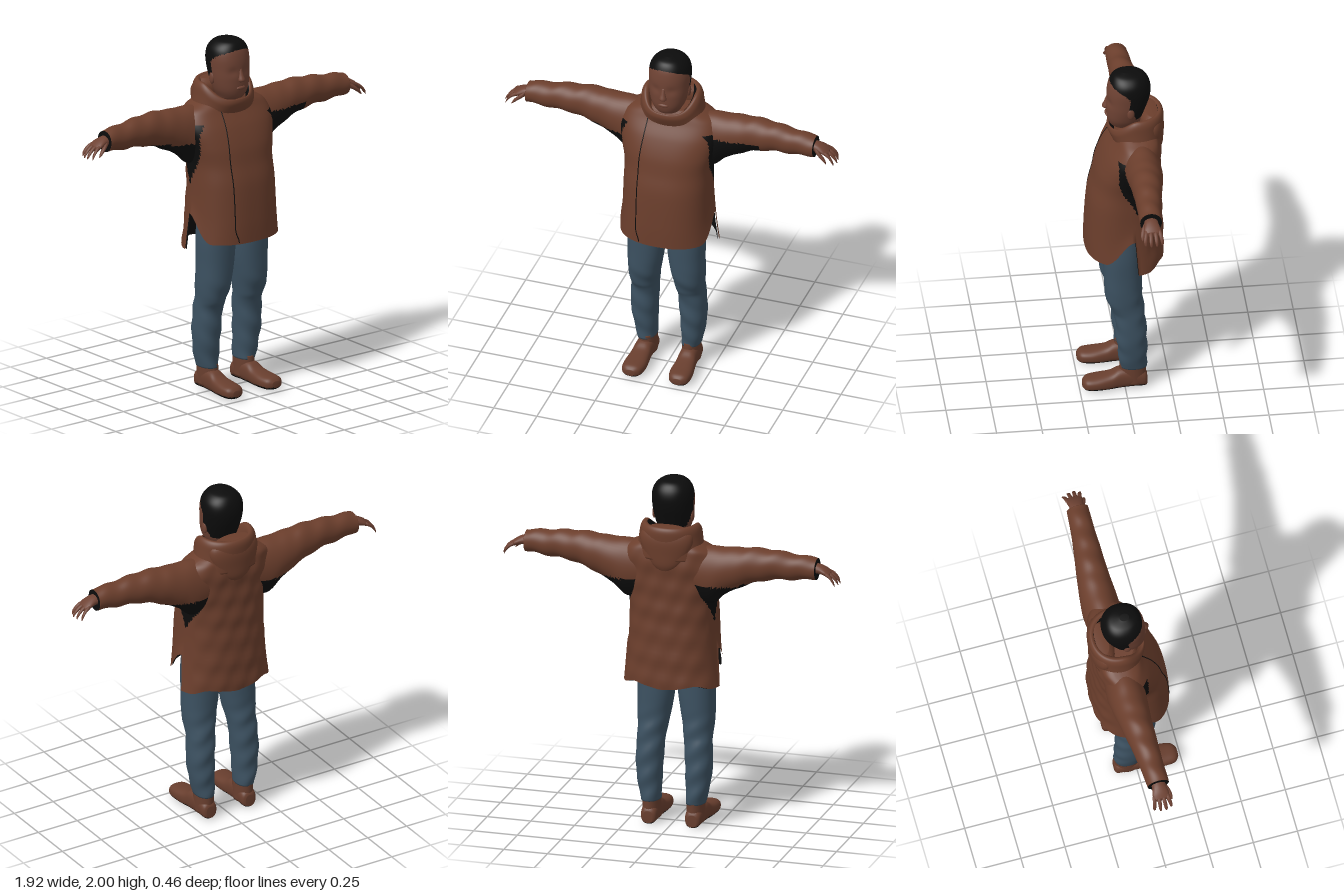
import * as THREE from 'three';

const mat = (name, color, side = THREE.FrontSide) => {
  const m = new THREE.MeshStandardMaterial({ color, side });
  m.name = name;
  return m;
};
const JACKET = mat('jacket brown', 0x6b3e2c);
const SKIN = mat('skin', 0x6e4233);
const DENIM = mat('denim blue', 0x3c5161);
const BLACK = mat('black', 0x0c0c0c, THREE.DoubleSide);
const BOOT = mat('boot brown', 0x683e2e);

const smooth = THREE.MathUtils.smoothstep;
const spow = (v, p) => Math.sign(v) * Math.pow(Math.abs(v), p);

// Catmull-Rom through section rows [t, c1, c2, r1, r2]
function sectionAt(rows, s) {
  const i = Math.min(Math.floor(s), rows.length - 2), f = s - i;
  const at = k => rows[Math.max(0, Math.min(rows.length - 1, k))];
  return rows[i].map((b, k) => {
    const a = at(i - 1)[k], c = at(i + 1)[k], d = at(i + 2)[k];
    return b + 0.5 * f * (c - a + f * (2 * a - 5 * b + 4 * c - d + f * (3 * (b - c) + d - a)));
  });
}

// Smooth skin over rounded cross-sections stacked along an axis.
// warp(v) moves vertices; pick(centre, normal, fraction) chooses a material index.
function loft(name, axis, rows, materials, o = {}) {
  const { seg = 32, sub = 5, pow = 2, warp, pick, open = false } = o;
  const rings = (rows.length - 1) * sub + 1;
  const pts = [], tris = [];
  const place = (t, a, b) => axis === 'y' ? new THREE.Vector3(a, t, b)
    : axis === 'x' ? new THREE.Vector3(t, a, b) : new THREE.Vector3(a, b, t);
  const add = v => { if (warp) warp(v); pts.push(v); };
  for (let r = 0; r < rings; r++) {
    const [t, c1, c2, r1, r2] = sectionAt(rows, r / sub);
    for (let j = 0; j < seg; j++) {
      const a = j / seg * Math.PI * 2;
      add(place(t, c1 + r1 * spow(Math.cos(a), 2 / pow), c2 + r2 * spow(Math.sin(a), 2 / pow)));
    }
  }
  for (let r = 0; r < rings - 1; r++) for (let j = 0; j < seg; j++) {
    const a = r * seg + j, b = r * seg + (j + 1) % seg, f = r / (rings - 1);
    tris.push([a, b, b + seg, f], [a, b + seg, a + seg, f]);
  }
  const first = rows[0], last = rows[rows.length - 1], n = rings * seg;
  add(place(first[0], first[1], first[2]));
  add(place(last[0], last[1], last[2]));
  for (let j = 0; j < seg; j++) {
    const k = (j + 1) % seg, e = (rings - 1) * seg;
    if (!open) tris.push([n, k, j, 0]);
    tris.push([n + 1, e + j, e + k, 1]);
  }
  // Turn every face outward using the enclosed volume
  const o0 = pts[n], d = i => pts[i].clone().sub(o0);
  let vol = 0;
  for (const [a, b, c] of tris) vol += d(a).dot(d(b).cross(d(c)));
  if (vol < 0) for (const t of tris) [t[1], t[2]] = [t[2], t[1]];

  const geo = new THREE.BufferGeometry().setFromPoints(pts);
  const buckets = [].concat(materials).map(() => []);
  for (const [a, b, c, f] of tris) {
    const mid = pts[a].clone().add(pts[b]).add(pts[c]).divideScalar(3);
    const nor = pts[b].clone().sub(pts[a]).cross(pts[c].clone().sub(pts[a])).normalize();
    buckets[pick ? pick(mid, nor, f) : 0].push(a, b, c);
  }
  geo.setIndex(buckets.flat());
  geo.computeVertexNormals();
  if (Array.isArray(materials)) {
    let start = 0;
    buckets.forEach((b, i) => { geo.addGroup(start, b.length, i); start += b.length; });
  }
  const mesh = new THREE.Mesh(geo, materials);
  mesh.name = name;
  return mesh;
}

function ball(name, material, pos, scale) {
  const m = new THREE.Mesh(new THREE.SphereGeometry(1, 20, 14), material);
  m.name = name;
  m.position.set(...pos);
  m.scale.set(...scale);
  return m;
}

const TORSO = [
  [0.86, 0, -0.005, 0.262, 0.216], [1.0, 0, -0.005, 0.25, 0.214], [1.2, 0, -0.008, 0.245, 0.203],
  [1.32, 0, -0.02, 0.245, 0.188], [1.42, 0, -0.03, 0.265, 0.175], [1.52, 0, -0.052, 0.285, 0.155],
  [1.6, 0, -0.075, 0.265, 0.128], [1.64, 0, -0.08, 0.2, 0.115], [1.67, 0, -0.08, 0.12, 0.1]];

// Side-slit hem: higher front panel, longer flared back panel, creased back
function coatWarp(v) {
  const back = v.z < -0.05;
  const hem = back ? 0.825 + 0.03 * smooth(-v.z, 0.12, 0.2) * smooth(Math.abs(v.x), 0, 0.2)
    : 0.885 + 0.15 * smooth(-v.z, -0.12, 0.04);
  if (v.y < 1.15) {
    const k = (1.15 - v.y) / 0.29;
    v.y = 1.15 - k * (1.15 - hem);
    if (back) v.x *= 1 + 0.06 * k;
  }
  if (v.z < -0.12) v.z += 0.005 * Math.sin(v.y * 38 + v.x * 25) * Math.sin(v.x * 30 - v.y * 9);
}

function coat(g) {
  // Black underarm panels tapering down the sides
  const pick = c => {
    const k = smooth(c.y, 1.18, 1.42);
    return Math.abs(c.x) > 0.17 && c.y > 1.2 && c.y < 1.55 &&
      c.z < -0.055 + 0.1 * k && c.z > -0.06 - 0.11 * k ? 1 : 0;
  };
  g.add(loft('coatBody', 'y', TORSO, [JACKET, BLACK], { seg: 96, sub: 8, pow: 2.4, warp: coatWarp, pick, open: true }));
  const inner = TORSO.slice(0, 6).map(r => [r[0], r[1], r[2], r[3] - 0.009, r[4] - 0.009]);
  g.add(loft('coatLining', 'y', inner, BLACK, { seg: 96, sub: 6, pow: 2.4, warp: coatWarp, open: true }));

  // Front closure seam laid on the coat surface
  const seam = [];
  for (let s = 0.12; s <= 7; s += 0.2) {
    const [y, , cz, rx, rz] = sectionAt(TORSO, s);
    const x = -0.122 + 0.02 * smooth(y, 1.35, 1.65) + 0.02 * smooth(-y, -0.95, -0.87);
    const z = cz + rz * Math.pow(1 - Math.pow(Math.abs(x) / rx, 2.4), 1 / 2.4);
    const p = new THREE.Vector3(x, y, z);
    coatWarp(p);
    seam.push(p);
  }
  const line = new THREE.Mesh(new THREE.TubeGeometry(new THREE.CatmullRomCurve3(seam), 80, 0.003, 6), BLACK);
  line.name = 'frontSeam';
  g.add(line);

  // Hood collar: outside, lip, then inside
  const collar = [
    [1.57, 0, -0.085, 0.2, 0.135], [1.62, 0, -0.075, 0.178, 0.15], [1.65, 0, -0.07, 0.168, 0.155],
    [1.672, 0, -0.065, 0.15, 0.145], [1.66, 0, -0.06, 0.128, 0.128], [1.6, 0, -0.06, 0.1, 0.1]];
  g.add(loft('hoodCollar', 'y', collar, [JACKET, BLACK], {
    seg: 56, pow: 2.1,
    warp: v => { v.y += 0.085 * smooth(-v.z, -0.08, 0.07) * smooth(v.y, 1.57, 1.66); },
    pick: (c, n, f) => f > 0.72 && c.x > -0.03 ? 1 : 0 }));
  // Folded hood hanging on the back
  const hood = [
    [1.5, 0, -0.19, 0.03, 0.015], [1.54, 0, -0.185, 0.08, 0.036], [1.6, 0, -0.17, 0.125, 0.055],
    [1.67, 0, -0.16, 0.15, 0.067], [1.72, 0, -0.155, 0.14, 0.06], [1.752, 0, -0.155, 0.09, 0.035]];
  g.add(loft('foldedHood', 'y', hood, JACKET));
}

function arm(g, m) {
  const side = m > 0 ? 'left' : 'right';
  const mir = rows => rows.map(r => [r[0] * m, ...r.slice(1)]);
  const sleeve = [
    [0.14, 1.48, -0.08, 0.15, 0.1], [0.24, 1.475, -0.084, 0.165, 0.106], [0.32, 1.507, -0.085, 0.132, 0.102],
    [0.45, 1.545, -0.083, 0.104, 0.088], [0.58, 1.562, -0.075, 0.084, 0.076], [0.7, 1.56, -0.068, 0.073, 0.066],
    [0.8, 1.56, -0.063, 0.063, 0.062], [0.832, 1.56, -0.062, 0.06, 0.06]];
  // Black panel under the sleeve
  const pick = (c, n, f) => {
    const x = Math.abs(c.x);
    if (f === 1) return 1;
    const limit = c.z < -0.11 ? 1.43 : m > 0 ? 1.525 : 1.45;
    return x < 0.52 && c.y < limit + (x > 0.4 ? (m > 0 ? 0 : 0.02) : 0) && n.y < 0.3 ? 1 : 0;
  };
  g.add(loft(side + 'Sleeve', 'x', mir(sleeve), [JACKET, BLACK], { seg: 48, sub: 9, pick,
    warp: v => { v.y += 0.004 * Math.sin(v.x * 45 + v.z * 20) * smooth(Math.abs(v.x), 0.3, 0.45); } }));

  const palm = [[0.81, 1.562, -0.062, 0.03, 0.036], [0.85, 1.56, -0.062, 0.026, 0.04],
    [0.885, 1.548, -0.063, 0.021, 0.046], [0.912, 1.533, -0.063, 0.014, 0.043]];
  g.add(loft(side + 'Palm', 'x', mir(palm), SKIN, { seg: 20 }));
  const fingers = [[-0.1, 0.945, -0.012], [-0.077, 0.957, -0.004], [-0.053, 0.96, 0.003], [-0.03, 0.948, 0.01]];
  fingers.forEach(([z, tip, fan], i) => {
    const l = tip - 0.89;
    g.add(loft(side + 'Finger' + (i + 1), 'x', mir([
      [0.89, 1.545, z, 0.011, 0.011], [0.89 + l * 0.5, 1.53, z + fan * 0.5, 0.011, 0.011],
      [0.89 + l * 0.9, 1.502, z + fan, 0.009, 0.009], [tip, 1.485, z + fan, 0.003, 0.004]]), SKIN, { seg: 10, sub: 3 }));
  });
  g.add(loft(side + 'Thumb', 'x', mir([[0.84, 1.555, -0.035, 0.016, 0.016], [0.87, 1.535, -0.018, 0.014, 0.014],
    [0.897, 1.512, -0.01, 0.011, 0.011], [0.91, 1.495, -0.008, 0.004, 0.004]]), SKIN, { seg: 10, sub: 3 }));
}

function leg(g, m) {
  const side = m > 0 ? 'left' : 'right';
  const dx = m > 0 ? 0 : -0.012;
  const mir = rows => rows.map(r => [r[0], r[1] * m + dx, ...r.slice(2)]);
  const trouser = [
    [1.02, 0.105, 0.01, 0.1, 0.1], [0.88, 0.107, 0.012, 0.108, 0.105], [0.75, 0.11, 0.01, 0.102, 0.105],
    [0.62, 0.12, 0.006, 0.091, 0.102], [0.53, 0.125, -0.012, 0.08, 0.092], [0.47, 0.129, -0.028, 0.077, 0.083],
    [0.34, 0.135, -0.035, 0.074, 0.084], [0.22, 0.13, -0.043, 0.064, 0.078], [0.135, 0.122, -0.045, 0.052, 0.074]];
  g.add(loft(side + 'TrouserLeg', 'y', mir(trouser), DENIM, { seg: 36, sub: 7, pow: 2.2,
    warp: v => { v.z += 0.004 * Math.sin(v.y * 48 + v.x * 30) * (1 - smooth(v.y, 0.55, 0.7)); } }));
  // Boot shaft and foot with black sole
  g.add(loft(side + 'BootShaft', 'y', mir([[0.155, 0.12, -0.045, 0.05, 0.073], [0.11, 0.12, -0.043, 0.05, 0.074],
    [0.03, 0.12, -0.045, 0.05, 0.072]]), BOOT, { seg: 28 }));
  const foot = [
    [-0.122, 0.12, 0.045, 0.026, 0.034], [-0.105, 0.12, 0.053, 0.044, 0.048], [-0.04, 0.121, 0.065, 0.049, 0.059],
    [0.03, 0.123, 0.063, 0.051, 0.06], [0.08, 0.125, 0.05, 0.056, 0.048], [0.15, 0.127, 0.044, 0.063, 0.041],
    [0.21, 0.13, 0.042, 0.054, 0.035], [0.235, 0.13, 0.04, 0.025, 0.018]];
  g.add(loft(side + 'Boot', 'z', foot.map(r => [r[0], r[1] * m + dx, ...r.slice(2)]), [BOOT, BLACK], {
    seg: 36, pow: 2.5, warp: v => { v.y = Math.max(0, v.y); },
    pick: (c, n) => c.y < 0.03 && n.y < -0.5 ? 1 : 0 }));
}

function head(g) {
  // Rows: height, half width, front z, back z
  const rows = [
    [1.58, 0.062, -0.0, -0.1], [1.65, 0.064, 0.025, -0.1], [1.675, 0.07, 0.068, -0.1], [1.72, 0.093, 0.087, -0.108],
    [1.78, 0.108, 0.09, -0.128], [1.84, 0.114, 0.088, -0.148], [1.9, 0.116, 0.083, -0.155],
    [1.95, 0.104, 0.07, -0.142], [1.985, 0.07, 0.045, -0.11], [2.0, 0.02, 0.0, -0.05]]
    .map(([y, rx, f, b]) => [y, 0, (f + b) / 2, rx, (f - b) / 2]);
  // Hair: over the crown, down in front of the ears, around the nape
  const hair = c => {
    const line = c.y > 1.89 ? -0.02 + 0.1 * smooth(c.y, 1.89, 1.965) : -0.03 - 0.035 * smooth(-c.y, -1.82, -1.74);
    return c.y > 1.955 || (c.y > 1.73 && c.z < line) ? 1 : 0;
  };
  g.add(loft('headAndHair', 'y', rows, [SKIN, BLACK], { seg: 64, sub: 10, pow: 2.15, pick: hair,
    // Shallow eye sockets
    warp: v => { if (v.z > 0.03) v.z -= 0.007 * Math.exp(-((v.y - 1.83) ** 2) / 0.0006) * Math.exp(-((Math.abs(v.x) - 0.045) ** 2) / 0.0008); } }));
  g.add(loft('nose', 'y', [[1.77, 0, 0.085, 0.01, 0.008], [1.782, 0, 0.092, 0.021, 0.02],
    [1.81, 0, 0.088, 0.014, 0.014], [1.845, 0, 0.082, 0.008, 0.006]], SKIN, { seg: 16 }));
  g.add(ball('lips', SKIN, [0, 1.737, 0.085], [0.03, 0.011, 0.012]));
  for (const m of [1, -1]) g.add(ball(m > 0 ? 'leftEar' : 'rightEar', SKIN, [0.107 * m, 1.785, -0.035], [0.012, 0.034, 0.02]));
}

export function createModel() {
  const g = new THREE.Group();
  g.name = 'personInCoat';
  head(g);
  coat(g);
  for (const m of [1, -1]) { arm(g, m); leg(g, m); }
  return g;
}
